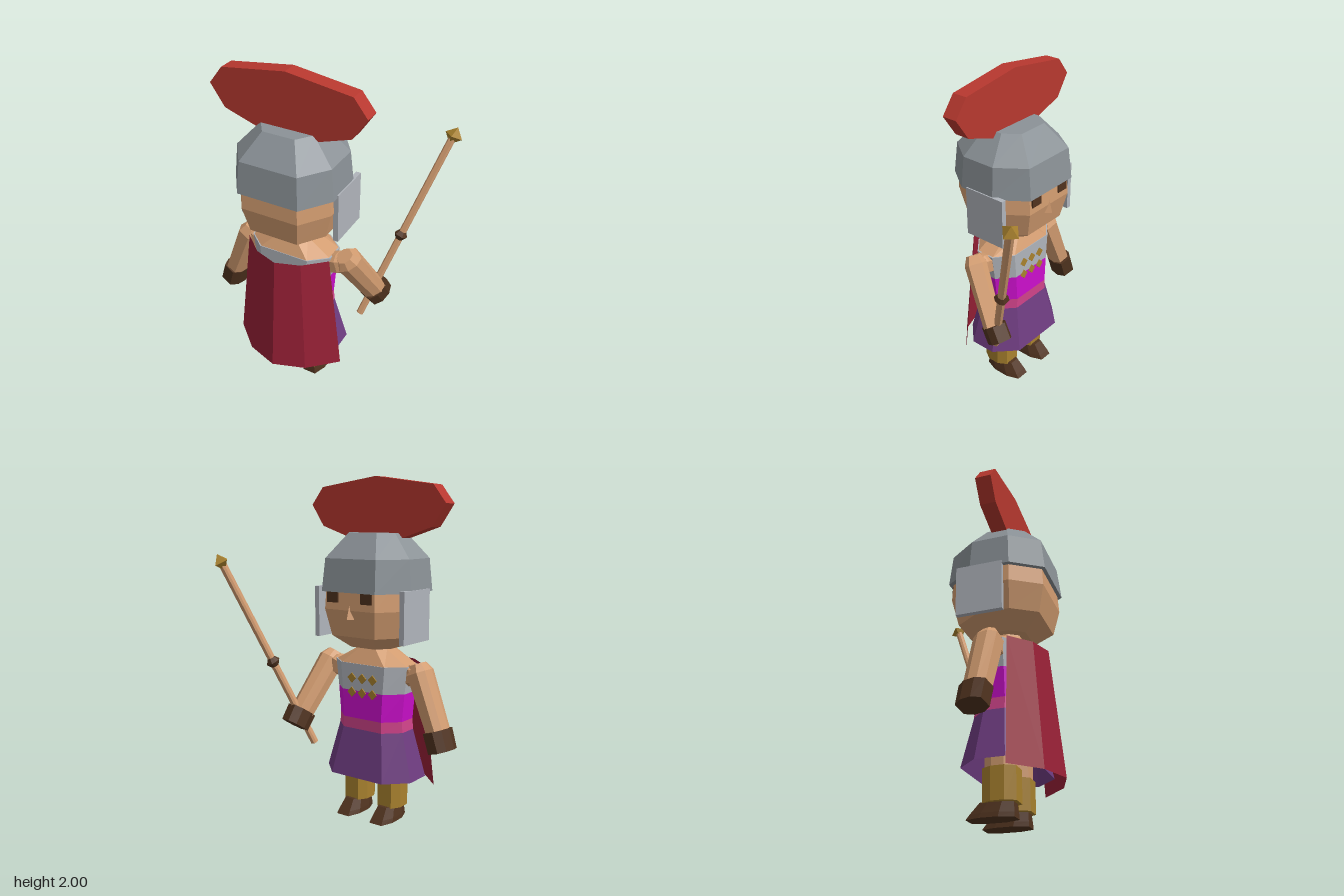
import * as THREE from 'three';
import { ConvexGeometry } from 'three/addons/geometries/ConvexGeometry.js';

const CX = -0.1, CZ = 0.155; // body axis

const mat = (name, color, side = THREE.FrontSide) => {
  const m = new THREE.MeshStandardMaterial({ color, side, flatShading: true });
  m.name = name;
  return m;
};

// Chamfered eight-sided rings [y, halfX, halfZ, zOffset] joined from low to high
function loft(rings, caps = true) {
  const pos = [];
  const shape = [[1, -0.4], [1, 0.4], [0.6, 1], [-0.6, 1], [-1, 0.4], [-1, -0.4], [-0.6, -1], [0.6, -1]];
  const pts = rings.map(([y, hx, hz, oz = 0]) => shape.map(([x, z]) => [x * hx, y, z * hz + oz]));
  const tri = (a, b, c) => pos.push(...a, ...b, ...c);
  for (let r = 0; r + 1 < pts.length; r++) {
    for (let i = 0; i < 8; i++) {
      const j = (i + 1) % 8;
      tri(pts[r][i], pts[r + 1][i], pts[r][j]);
      tri(pts[r][j], pts[r + 1][i], pts[r + 1][j]);
    }
  }
  if (caps) {
    const lo = pts[0], hi = pts[pts.length - 1];
    for (let i = 1; i < 7; i++) {
      tri(lo[0], lo[i], lo[i + 1]);
      tri(hi[0], hi[i + 1], hi[i]);
    }
  }
  const g = new THREE.BufferGeometry();
  g.setAttribute('position', new THREE.Float32BufferAttribute(pos, 3));
  g.computeVertexNormals();
  return g;
}

export function createModel() {
  const root = new THREE.Group();
  root.name = 'spearSoldier';

  const skin = mat('skin', 0xd29c70);
  const steel = mat('helmetSteel', 0x8b9297);
  const pale = mat('paleSteel', 0xb0b4bb);
  const red = mat('crestRed', 0xb8382f);
  const capeRed = mat('capeCrimson', 0x982036, THREE.DoubleSide);
  const brown = mat('darkBrown', 0x50331f);
  const gold = mat('gold', 0xa8812e);
  const magenta = mat('magenta', 0xcc0fcc);
  const pink = mat('sashPink', 0xd0438a);
  const purple = mat('skirtPurple', 0x6e3c80, THREE.DoubleSide);

  const add = (name, geo, m, x = 0, y = 0, z = 0) => {
    const mesh = new THREE.Mesh(geo, m);
    mesh.name = name;
    mesh.position.set(x, y, z);
    root.add(mesh);
    return mesh;
  };
  // Straight part from a to b; stations are [fraction, halfX, halfZ]
  const limb = (name, a, b, stations, m) => {
    const p = new THREE.Vector3(...a), d = new THREE.Vector3(...b).sub(p);
    const len = d.length();
    const mesh = add(name, loft(stations.map(([t, hx, hz]) => [t * len, hx, hz])), m, ...a);
    mesh.quaternion.setFromUnitVectors(new THREE.Vector3(0, 1, 0), d.normalize());
    return mesh;
  };

  // Head and helmet
  add('head', loft([[1.03, 0.14, 0.135], [1.106, 0.245, 0.235], [1.26, 0.285, 0.27], [1.5, 0.27, 0.255]]), skin, CX, 0, CZ);
  add('helmet', loft([[1.36, 0.304, 0.285], [1.545, 0.287, 0.265], [1.685, 0.16, 0.148]]), steel, CX, 0, CZ);
  const nose = [[0, 1.295, -0.112], [-0.03, 1.21, -0.1], [0.03, 1.21, -0.1], [0, 1.21, -0.138], [0, 1.25, -0.08]];
  add('nose', new ConvexGeometry(nose.map(p => new THREE.Vector3(...p))), skin, CX);
  for (const s of [-1, 1]) {
    add('eye', new THREE.BoxGeometry(0.075, 0.06, 0.009), brown, CX + s * 0.115, 1.33, -0.115);
    add('cheekGuard', new THREE.BoxGeometry(0.03, 0.295, 0.265), pale, CX + s * 0.295, 1.228, 0.098);
  }

  // Crest
  const outline = [[-0.46, 1.845], [-0.376, 1.72], [0, 1.595], [0.376, 1.72], [0.46, 1.845], [0.38, 1.947], [0, 2], [-0.38, 1.947]];
  const crest = new THREE.Shape(outline.map(p => new THREE.Vector2(...p)));
  add('crest', new THREE.ExtrudeGeometry(crest, { depth: 0.092, bevelEnabled: false }), red, CX, 0, 0.13);

  // Torso, bands and skirt
  add('shoulders', loft([[0.93, 0.255, 0.142], [1.02, 0.1, 0.095], [1.05, 0.09, 0.085]]), skin, CX, 0, CZ);
  add('chestPlate', loft([[0.775, 0.235, 0.143], [0.935, 0.255, 0.143]]), pale, CX, 0, CZ);
  add('tunic', loft([[0.61, 0.22, 0.143], [0.775, 0.235, 0.143]]), magenta, CX, 0, CZ);
  add('sash', loft([[0.545, 0.225, 0.143], [0.61, 0.22, 0.143]]), pink, CX, 0, CZ);
  add('skirt', loft([[0.265, 0.3, 0.2], [0.545, 0.225, 0.143]], false), purple, CX, 0, CZ);
  for (const y of [0.85, 0.765]) {
    for (const i of [-1, 0, 1]) {
      const stud = add('stud', new THREE.BoxGeometry(0.042, 0.042, 0.009), gold, CX + i * 0.073, y, 0.01);
      stud.rotation.z = Math.PI / 4;
    }
  }

  // Cape: two bent rows, one at the shoulders and one at the hem
  const half = [[1, 0], [0.54, 0.7], [0, 1], [-0.54, 0.7], [-1, 0]];
  const row = (y, w, z, d) => half.flatMap(([x, t]) => [CX + x * w, y, z + t * d]);
  const cape = new THREE.BufferGeometry();
  cape.setAttribute('position', new THREE.Float32BufferAttribute([...row(0.935, 0.262, 0.24, 0.155), ...row(0.213, 0.348, 0.255, 0.21)], 3));
  const faces = [];
  for (let i = 0; i < 4; i++) faces.push(i, i + 1, i + 5, i + 1, i + 6, i + 5);
  cape.setIndex(faces);
  cape.computeVertexNormals();
  add('cape', cape, capeRed);

  // Legs and boots
  for (const s of [-1, 1]) {
    const x = CX + s * 0.12;
    add('thigh', loft([[0.25, 0.075, 0.08], [0.5, 0.075, 0.08]]), skin, x, 0, 0.16);
    add('greave', loft([[0.078, 0.08, 0.09], [0.255, 0.08, 0.09]]), gold, x, 0, 0.16);
    add('boot', loft([[0, 0.07, 0.128, -0.052], [0.025, 0.066, 0.118, -0.043], [0.085, 0.05, 0.09, -0.02]]), brown, x, 0, 0.16);
  }

  // Arms: shoulder joint, arm, then hand
  const joint = [[0, 0.055, 0.055], [0.75, 0.06, 0.06], [1, 0.045, 0.045]];
  const arm = [[0, 0.042, 0.045], [0.12, 0.065, 0.072], [1, 0.056, 0.066]];
  const hand = [[0, 0.064, 0.08], [1, 0.064, 0.077]];
  limb('rightShoulder', [-0.25, 0.85, 0.155], [-0.41, 0.9, 0.155], joint, skin);
  limb('rightArm', [-0.385, 0.95, 0.155], [-0.54, 0.57, 0.14], arm, skin);
  limb('rightHand', [-0.535, 0.59, 0.135], [-0.573, 0.475, 0.13], hand, brown);
  limb('leftShoulder', [0.07, 0.85, 0.155], [0.23, 0.9, 0.16], joint, skin);
  limb('leftArm', [0.225, 0.955, 0.18], [0.315, 0.6, -0.045], arm, skin);
  limb('leftHand', [0.312, 0.615, -0.045], [0.322, 0.53, -0.1], hand, brown);

  // Spear
  const base = [0.25, 0.41, 0.0], tip = [0.583, 1.51, -0.415];
  limb('spearShaft', base, tip, [[0, 0.02, 0.02], [1, 0.02, 0.02]], skin);
  limb('spearCollar', [0.397, 0.9, -0.185], [0.413, 0.95, -0.205], [[0, 0.02, 0.02], [0.5, 0.037, 0.037], [1, 0.02, 0.02]], brown);
  const point = add('spearPoint', new THREE.OctahedronGeometry(0.052), gold, 0.586, 1.518, -0.42);
  point.quaternion.setFromUnitVectors(new THREE.Vector3(0, 1, 0), new THREE.Vector3(0.333, 1.1, -0.415).normalize());

  return root;
}
